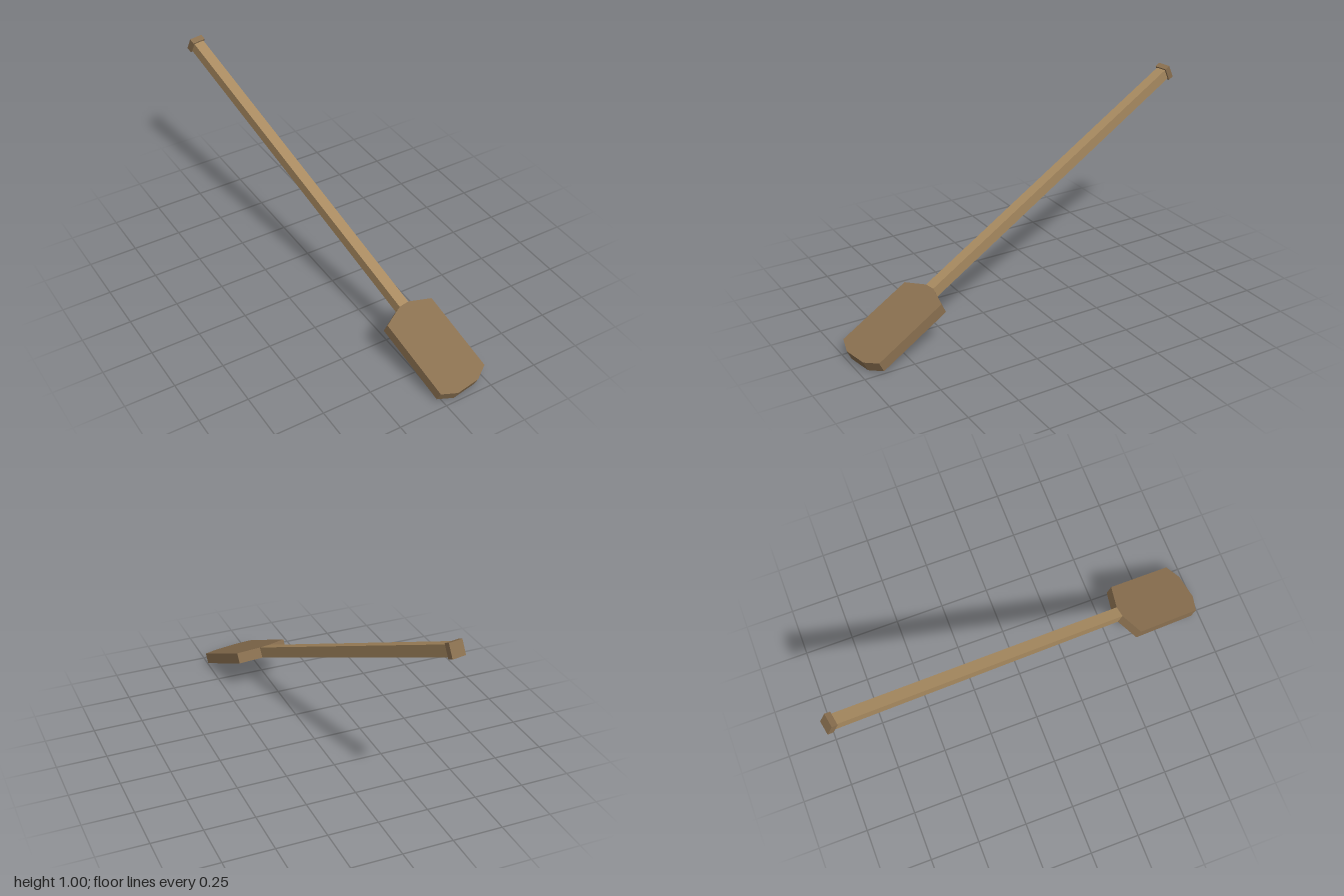
import * as THREE from 'three';

const THICK = 0.055; // shared by shaft and blade, so their faces run flush

function makeMesh(name, geometry, color) {
  const material = new THREE.MeshStandardMaterial({ color, flatShading: true });
  const mesh = new THREE.Mesh(geometry, material);
  mesh.name = name;
  return mesh;
}

export function createModel() {
  const lightWood = 0xa88a60;
  const darkWood = 0x8a7050;

  // Oar lies along its own z axis; the origin is where the shaft meets the blade
  const oar = new THREE.Group();
  oar.name = 'oar';

  // Long square shaft
  const shaftLength = 1.7;
  const shaft = makeMesh('shaft', new THREE.BoxGeometry(THICK, THICK, shaftLength), lightWood);
  shaft.position.z = -shaftLength / 2;
  oar.add(shaft);

  // Square cap at the grip end
  const cap = makeMesh('gripCap', new THREE.BoxGeometry(0.07, 0.07, 0.03), darkWood);
  cap.position.z = -1.705;
  oar.add(cap);

  // Flat blade: half outline as [half width, distance], mirrored
  const half = [[0.028, 0], [0.142, 0.045], [0.142, 0.442], [0.065, 0.48]];
  const outline = [
    ...half.map(([x, z]) => new THREE.Vector2(x, -z)),
    ...half.slice().reverse().map(([x, z]) => new THREE.Vector2(-x, -z)),
  ];
  const bladeGeometry = new THREE.ExtrudeGeometry(new THREE.Shape(outline), {
    depth: THICK,
    bevelEnabled: false,
  });
  bladeGeometry.translate(0, 0, -THICK / 2);
  bladeGeometry.rotateX(-Math.PI / 2);
  oar.add(makeMesh('blade', bladeGeometry, darkWood));

  // Lean the oar with its blade tip on the ground
  oar.rotation.set(THREE.MathUtils.degToRad(25.4), THREE.MathUtils.degToRad(10), 0, 'YXZ');
  oar.position.set(0.048, 0.231, 0.55);

  const model = new THREE.Group();
  model.name = 'model';
  model.add(oar);
  return model;
}
